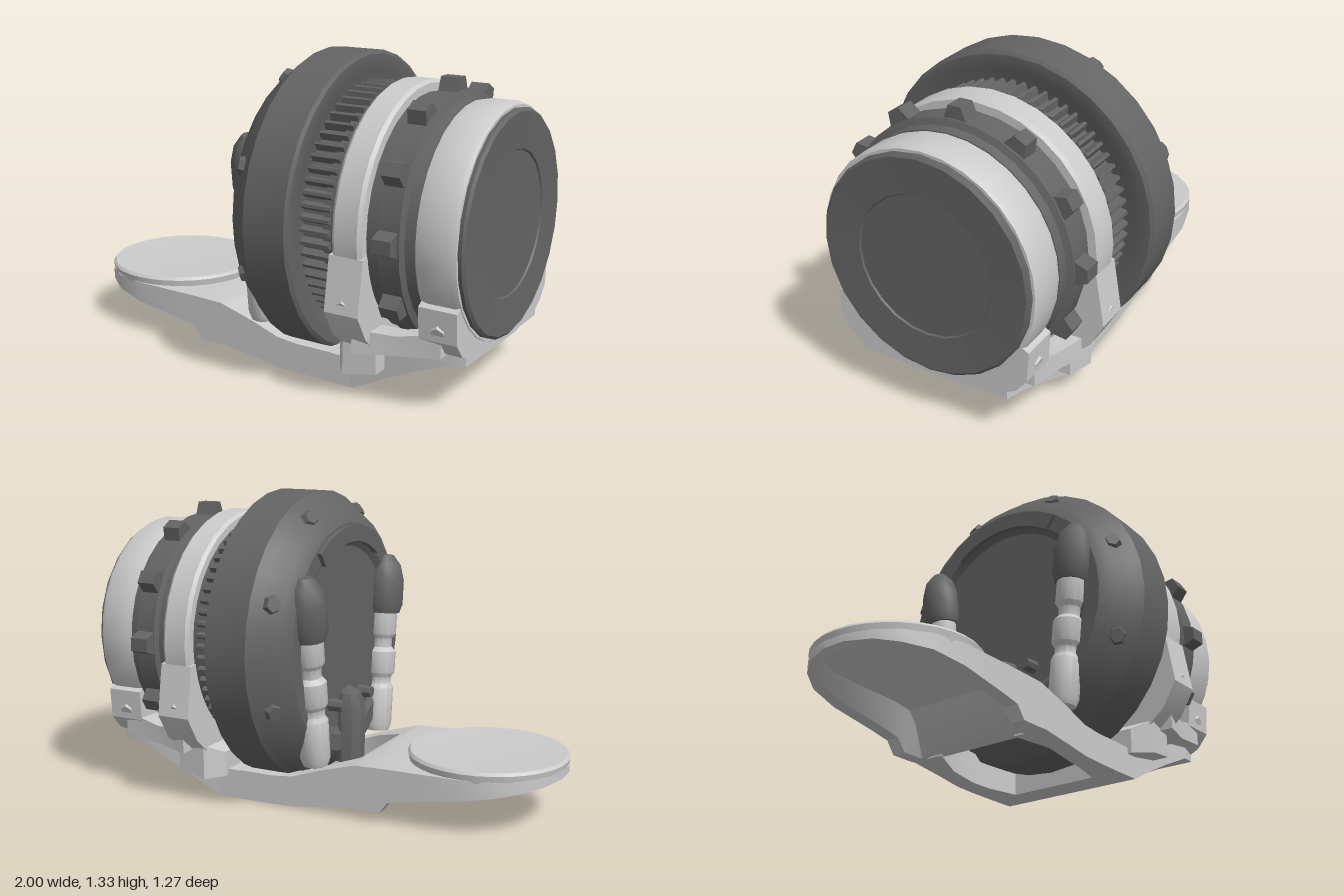
import * as THREE from 'three';
import { toCreasedNormals } from 'three/addons/utils/BufferGeometryUtils.js';

const CY = 0.695; // height of the drum axis, which runs along x
const light = new THREE.MeshStandardMaterial({ color: 0xcccccc });
const dark = new THREE.MeshStandardMaterial({ color: 0x646464 });

export function createModel() {
  const model = new THREE.Group();

  const add = (name, geo, mat, crease = 0.5) => {
    const mesh = new THREE.Mesh(toCreasedNormals(geo, crease), mat);
    mesh.name = name;
    model.add(mesh);
    return mesh;
  };

  // Turned part around the main axis; profile is [x, radius] with x rising
  const turned = (name, profile, mat, sides = 32) => {
    const geo = new THREE.LatheGeometry(profile.map(([x, r]) => new THREE.Vector2(r, x)), sides);
    return add(name, geo.rotateZ(-Math.PI / 2).translate(0, CY, 0), mat);
  };

  // Flat outline in the z-y plane, extruded along x
  const slice = (shape, x0, x1) =>
    new THREE.ExtrudeGeometry(shape, { depth: x1 - x0, bevelEnabled: false, curveSegments: 24 })
      .rotateY(Math.PI / 2).translate(x0, 0, 0);

  // Skin over cross-sections that follow each other along +x
  const loft = (name, sections, mat = light, crease = 0.6) => {
    const pos = [], n = sections[0].pts.length, last = sections.length - 1;
    const put = (i, j) => { const [z, y] = sections[i].pts[j % n]; pos.push(sections[i].x, y, z); };
    for (let i = 0; i < last; i++) for (let j = 0; j < n; j++) {
      put(i, j); put(i, j + 1); put(i + 1, j + 1);
      put(i, j); put(i + 1, j + 1); put(i + 1, j);
    }
    for (let j = 1; j < n - 1; j++) {
      put(0, 0); put(0, j + 1); put(0, j);
      put(last, 0); put(last, j); put(last, j + 1);
    }
    const geo = new THREE.BufferGeometry();
    geo.setAttribute('position', new THREE.Float32BufferAttribute(pos, 3));
    return add(name, geo, mat, crease);
  };
  const rect = ([x, z0, z1, y0, y1]) => ({ x, pts: [[z0, y1], [z1, y1], [z1, y0], [z0, y0]] });
  const pair = (name, rows) => {
    loft(name + 'Left', rows.map(rect));
    loft(name + 'Right', rows.map(([x, a, b, c, d]) => rect([x, -b, -a, c, d])));
  };

  // Main drum, gear, rings and end cap
  turned('drum', [[0.02, 0], [0.02, 0.4], [0, 0.43], [0, 0.5], [0.03, 0.55], [0.11, 0.61], [0.14, 0.635],
    [0.33, 0.635], [0.34, 0.62], [0.34, 0.56], [0.325, 0.53], [0.325, 0.3]], dark);
  turned('barrel', [[0.3, 0.47], [0.95, 0.46]], dark);
  turned('gearFlange', [[0.42, 0.46], [0.42, 0.495], [0.48, 0.495], [0.48, 0.46]], dark);
  turned('rearRing', [[0.48, 0.46], [0.48, 0.525], [0.495, 0.537], [0.595, 0.537], [0.61, 0.525], [0.61, 0.46]], light);
  turned('gripRing', [[0.61, 0.44], [0.61, 0.49], [0.66, 0.49], [0.67, 0.512], [0.76, 0.512], [0.77, 0.485],
    [0.81, 0.48], [0.81, 0.44]], dark);
  turned('frontRing', [[0.805, 0.44], [0.81, 0.475], [0.84, 0.482], [0.955, 0.482], [0.975, 0.472], [0.975, 0.44]], light);
  turned('endCap', [[0.95, 0.462], [0.99, 0.462], [1, 0.45], [0.992, 0.3], [0.985, 0.295], [0.985, 0]], dark, 24);

  // Gear teeth around the barrel
  const gear = new THREE.Shape();
  const teeth = 64;
  for (let i = 0; i < teeth * 4; i++) {
    const a = (i / (teeth * 4)) * Math.PI * 2, r = i % 4 < 2 ? 0.515 : 0.485;
    gear[i ? 'lineTo' : 'moveTo'](Math.cos(a) * r, CY + Math.sin(a) * r);
  }
  add('gear', slice(gear, 0.32, 0.455), dark, 0.3);

  // Twelve tapered grips
  for (let i = 0; i < 12; i++) {
    const s = new THREE.Shape([[-0.06, 0.48], [0.06, 0.48], [0.028, 0.562], [-0.028, 0.562]]
      .map(([u, v]) => new THREE.Vector2(u, v)));
    const grip = add('grip', slice(s, 0.672, 0.752), dark, 0.3);
    grip.position.y = CY;
    grip.rotation.x = (i * Math.PI) / 6;
  }

  // Eight small studs on the drum bevel
  for (let i = 0; i < 8; i++) {
    const a = ((i + 0.5) * Math.PI) / 4;
    const geo = new THREE.CylinderGeometry(0.03, 0.042, 0.03, 6).scale(1, 1, 1.1)
      .rotateZ(0.9).translate(0.068, 0.578, 0).rotateX(a).translate(0, CY, 0);
    add('drumStud', geo, dark, 0.3);
  }

  // Raised arc at the top of the drum face
  const arc = new THREE.Shape();
  arc.absarc(0, CY, 0.49, 0.95, Math.PI - 0.95, false);
  arc.absarc(0, CY, 0.42, Math.PI - 0.95, 0.95, true);
  add('faceArc', slice(arc, -0.02, 0.04), dark);

  // Two leaning pistons on the drum face
  for (const s of [-1, 1]) {
    const piston = new THREE.Group();
    piston.name = 'piston';
    const body = (name, pts, mat) => {
      const geo = new THREE.LatheGeometry(pts.map(([r, y]) => new THREE.Vector2(r, y)), 12);
      const mesh = new THREE.Mesh(toCreasedNormals(geo, 0.7), mat);
      mesh.name = name;
      piston.add(mesh);
    };
    body('pistonRod', [[0, 0], [0.055, 0], [0.065, 0.03], [0.065, 0.2], [0.052, 0.22], [0.052, 0.25], [0.068, 0.27],
      [0.068, 0.37], [0.048, 0.39], [0.048, 0.43], [0.065, 0.45], [0.065, 0.57]], light);
    body('pistonCap', [[0, 0.55], [0.075, 0.55], [0.088, 0.59], [0.088, 0.7], [0.07, 0.77], [0.035, 0.815], [0, 0.82]], dark);
    piston.position.set(0.005, 0.2, s * 0.3);
    piston.rotation.x = s * 0.11;
    model.add(piston);

    const stud = new THREE.CylinderGeometry(0.025, 0.03, 0.07, 8).rotateZ(Math.PI / 2);
    add('faceStud', stud.translate(-0.01, 0.42, s * 0.14), dark);
  }

  // Middle post low on the drum face
  const post = new THREE.LatheGeometry([[0, 0.14], [0.07, 0.14], [0.075, 0.38], [0.055, 0.45], [0, 0.48]]
    .map(([r, y]) => new THREE.Vector2(r, y)), 10);
  add('middlePost', post.translate(0, 0, 0), dark);

  // Round pad on the end of the base
  const pad = new THREE.LatheGeometry([[0.3, 0.2], [0.33, 0.215], [0.34, 0.265], [0.33, 0.277], [0.2, 0.272], [0, 0.268]]
    .map(([r, y]) => new THREE.Vector2(r, y)), 32);
  add('pad', pad.translate(-0.66, 0, 0), light);

  // Base under the pad, hollowed from below: x, half width, top, rim bottom, hollow bottom
  loft('padBase', [
    [-0.995, 0.05, 0.24, 0.21, 0.21], [-0.96, 0.16, 0.24, 0.203, 0.21], [-0.9, 0.24, 0.24, 0.19, 0.215],
    [-0.8, 0.31, 0.24, 0.175, 0.22], [-0.66, 0.34, 0.24, 0.15, 0.22], [-0.45, 0.34, 0.238, 0.115, 0.215],
    [-0.35, 0.34, 0.237, 0.095, 0.2], [-0.31, 0.34, 0.236, 0.042, 0.15], [-0.2, 0.34, 0.233, 0.042, 0.06],
    [-0.16, 0.34, 0.222, 0.045, 0.045],
  ].map(([x, w, t, b, m]) => ({
    x, pts: [[-w, t], [w, t], [w, b], [w * 0.82, b], [w * 0.65, m], [-w * 0.65, m], [-w * 0.82, b], [-w, b]],
  })));

  // Side rails around the drum opening, then the solid front block
  pair('baseRail', [[-0.18, 0.19, 0.34, 0.044, 0.228], [-0.03, 0.25, 0.34, 0.025, 0.185],
    [0.1, 0.25, 0.34, 0.006, 0.14], [0.2, 0.24, 0.34, 0.002, 0.13], [0.36, 0.2, 0.34, 0, 0.13]]);
  loft('baseBlock', [[0.34, -0.34, 0.34, 0, 0.128], [0.47, -0.34, 0.34, 0, 0.128],
    [0.6, -0.34, 0.34, 0.065, 0.13]].map(rect));

  // Arms that rise from the block to the front ring, and side links
  pair('frontArm', [[0.46, 0.08, 0.34, 0, 0.128], [0.72, 0.09, 0.35, 0.125, 0.21],
    [0.88, 0.05, 0.36, 0.195, 0.29], [0.97, 0.0, 0.34, 0.205, 0.26]]);
  pair('sideLink', [[0.55, 0.39, 0.49, 0.22, 0.32], [0.72, 0.35, 0.44, 0.23, 0.31], [0.9, 0.3, 0.42, 0.25, 0.35]]);

  // Cradles under the two light rings; half outline is mirrored
  const cradle = (name, half, inner, x0, x1) => {
    const out = [...half, ...half.map(([z, y]) => [-z, y]).reverse()];
    const s = new THREE.Shape(out.map(([z, y]) => new THREE.Vector2(z, y)));
    const [ez, ey] = half[0];
    const a = Math.atan2(ey - CY, ez);
    s.absarc(0, CY, inner, Math.PI - a, a + Math.PI * 2, false);
    add(name, slice(s, x0, x1), light);
  };
  cradle('rearCradle', [[0.53, 0.62], [0.565, 0.4], [0.5, 0.29], [0.43, 0.23], [0.34, 0.12], [0.25, 0.12],
    [0.2, 0.165], [0.08, 0.165]], 0.5, 0.47, 0.62);
  cradle('frontCradle', [[0.44, 0.45], [0.43, 0.32], [0.38, 0.26], [0.3, 0.22], [0.1, 0.2]], 0.455, 0.81, 0.972);
  pair('rearFoot', [[0.42, 0.24, 0.36, 0.1, 0.21], [0.48, 0.24, 0.44, 0.1, 0.25], [0.62, 0.24, 0.42, 0.12, 0.25]]);

  // Faceted clips where the rings meet their cradles
  for (const [x, y, z] of [[0.545, 0.43, 0.525], [0.89, 0.36, 0.405]]) for (const s of [-1, 1]) {
    const geo = new THREE.CylinderGeometry(0.03, 0.065, 0.06, 6).rotateX(s * (Math.PI / 2 + 0.35));
    add('ringClip', geo.translate(x, y, s * z), light, 0.3);
  }

  return model;
}
